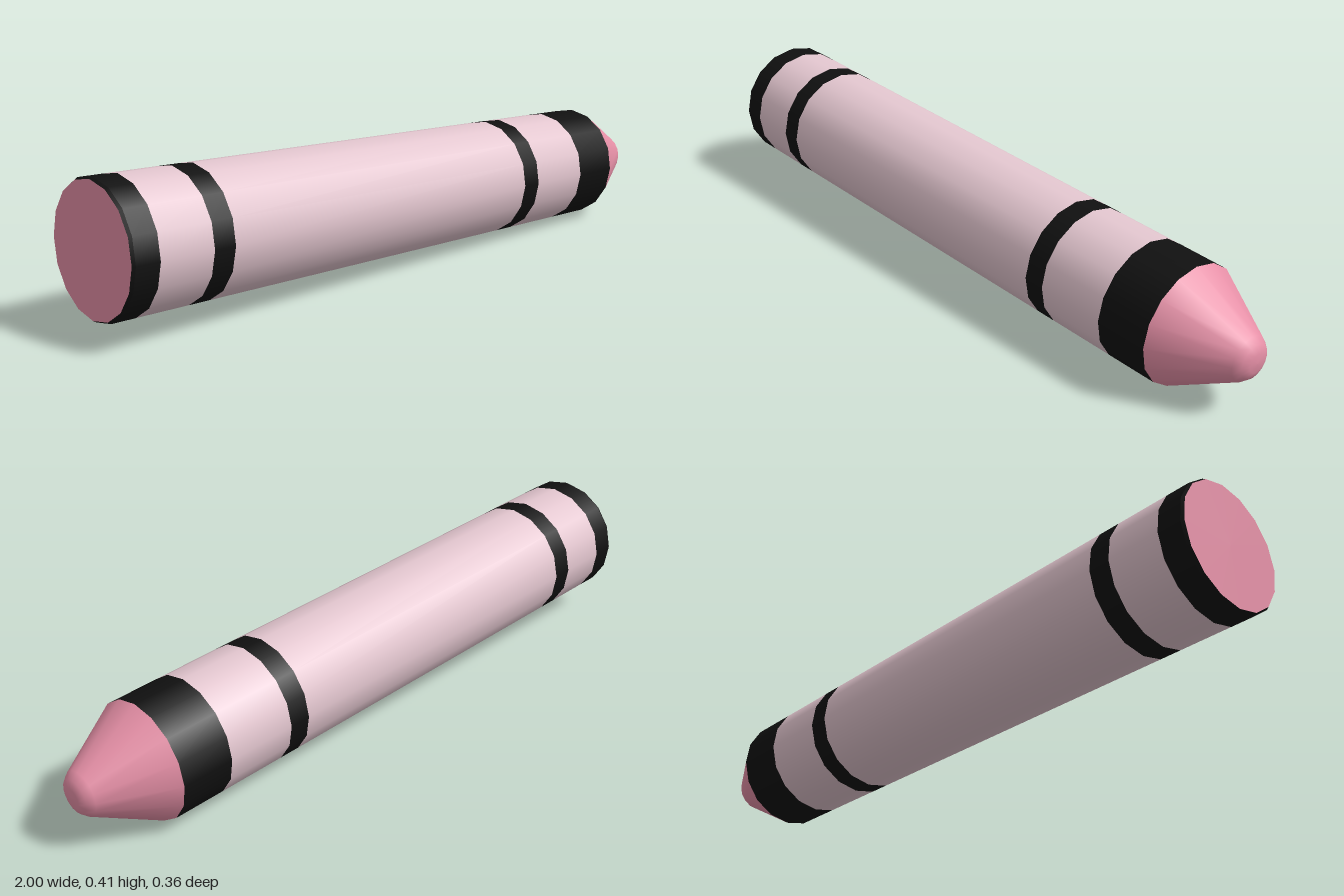
import * as THREE from 'three';

const SIDES = 16;
const BACK = -0.993;      // axial position of the flat end
const SHOULDER = 0.787;   // where the wrapper ends and the cone begins
const R_BACK = 0.178, R_FRONT = 0.167;

function material(name, color) {
  const m = new THREE.MeshStandardMaterial({ color });
  m.name = name;
  return m;
}

// wrapper radius tapers slightly towards the tip
const radiusAt = s => R_BACK + (R_FRONT - R_BACK) * (s - BACK) / (SHOULDER - BACK);

export function createModel() {
  const wax = material('rose wax', 0xe58fa6);
  const paper = material('pale pink paper', 0xe3c6cf);
  const black = material('black print', 0x101010);

  const crayon = new THREE.Group();
  crayon.name = 'crayon';

  const add = (name, geometry, mat) => {
    const mesh = new THREE.Mesh(geometry, mat);
    mesh.name = name;
    crayon.add(mesh);
    return mesh;
  };
  const turned = pts =>
    new THREE.LatheGeometry(pts.map(([r, s]) => new THREE.Vector2(r, s)), SIDES);

  // wrapper: alternating printed bands and bare paper, from flat end to cone
  const sections = [
    ['endBand', BACK + 0.008, -0.918, black],
    ['rearPaper', -0.918, -0.765, paper],
    ['rearStripe', -0.765, -0.703, black],
    ['middlePaper', -0.703, 0.37, paper],
    ['frontStripe', 0.37, 0.432, black],
    ['frontPaper', 0.432, 0.635, paper],
    ['frontBand', 0.635, SHOULDER, black],
  ];
  for (const [name, a, b, mat] of sections) {
    add(name, turned([[radiusAt(a), a], [radiusAt(b), b]]), mat);
  }

  // small bevel and flat disc closing the back
  add('endBevel', turned([[0.173, BACK], [radiusAt(BACK + 0.008), BACK + 0.008]]), black);
  const disc = add('endDisc', new THREE.CircleGeometry(0.173, SIDES), wax);
  disc.rotation.x = Math.PI / 2;
  disc.position.y = BACK;

  // conical writing tip with a blunt rounded nose
  add('tip', turned([
    [R_FRONT, SHOULDER], [0.062, 0.972], [0.047, 0.989], [0.026, 0.998], [0, 0.999],
  ]), wax);

  // lie along x, resting on the ground with the tip slightly lower
  crayon.rotation.z = -(Math.PI / 2 + 0.037);
  crayon.position.y = 0.197;

  const model = new THREE.Group();
  model.name = 'crayonModel';
  model.add(crayon);
  return model;
}
